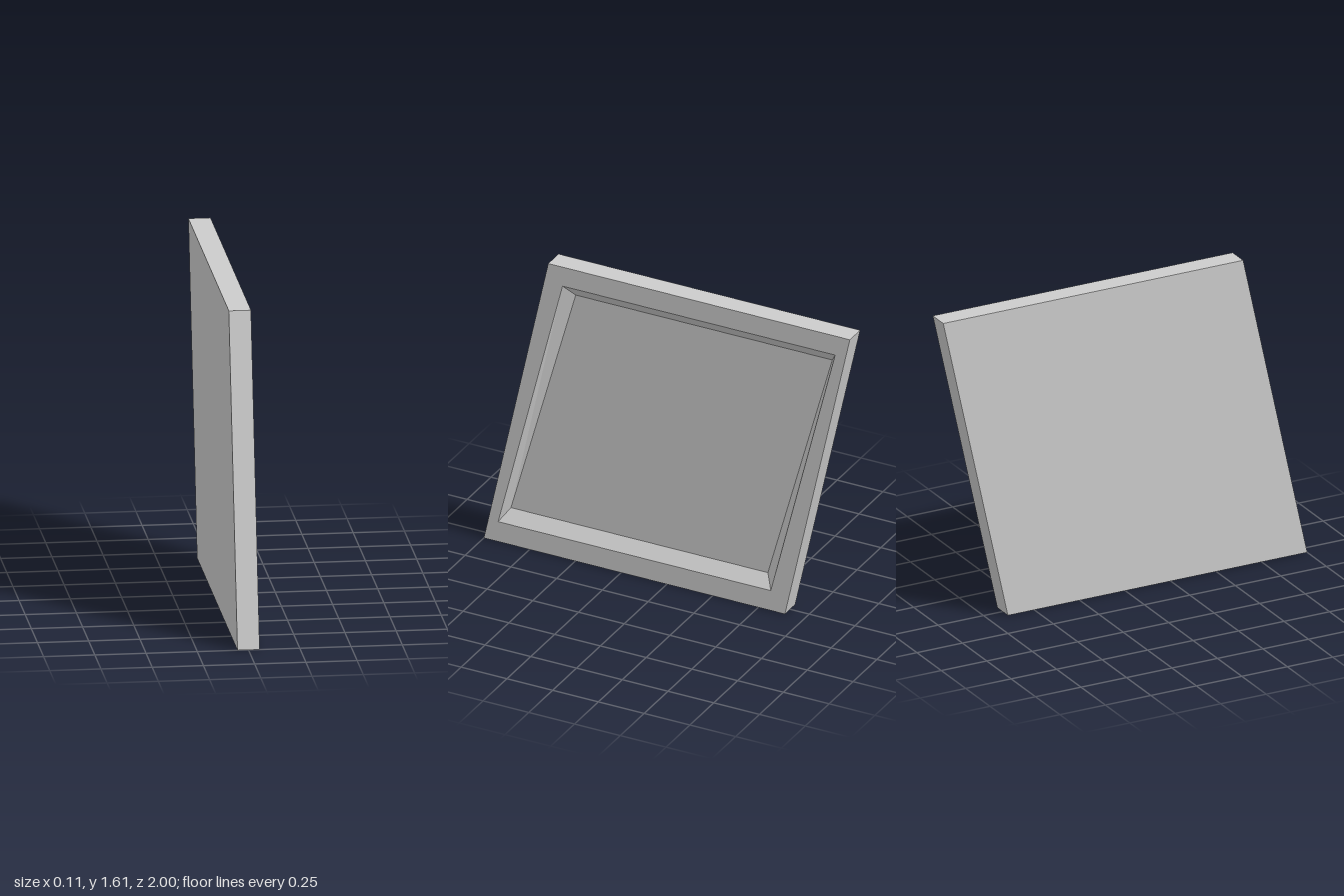
import * as THREE from 'three';

const X = 0.054; // half thickness
const FLOOR = 0; // depth plane of the recessed panel

// Slanted outlines as [z, y]: bottom front, bottom back, top back, top front
const OUTER = [[1, 0], [-0.645, 0], [-1, 1.61], [0.648, 1.61]];
const RIM = [[0.922, 0.11], [-0.568, 0.11], [-0.92, 1.505], [0.57, 1.505]];
const PANEL = [[0.88, 0.172], [-0.524, 0.172], [-0.876, 1.44], [0.526, 1.44]];

const ring = (outline, x) => outline.map(([z, y]) => [x, y, z]);

// Flat-faced geometry from four-cornered faces
function fromQuads(quads) {
  const points = quads.flatMap(([a, b, c, d]) => [a, b, c, a, c, d]).flat();
  const geometry = new THREE.BufferGeometry();
  geometry.setAttribute('position', new THREE.Float32BufferAttribute(points, 3));
  geometry.computeVertexNormals();
  return geometry;
}

// Band of four faces joining one ring to the next
const band = (r, s) => r.map((p, i) => {
  const j = (i + 1) % 4;
  return [p, r[j], s[j], s[i]];
});

export function createModel() {
  const group = new THREE.Group();
  const grey = new THREE.MeshStandardMaterial({ color: 0xcccccc });
  const back = ring(OUTER, -X), face = ring(OUTER, X);
  const rim = ring(RIM, X), floor = ring(PANEL, FLOOR);

  const add = (name, quads) => {
    const mesh = new THREE.Mesh(fromQuads(quads), grey);
    mesh.name = name;
    group.add(mesh);
  };

  add('backPlate', [[...back].reverse()]);
  add('outerEdges', band(back, face));
  add('frameFace', band(face, rim));
  add('recessBevel', band(rim, floor));
  add('recessedPanel', [floor]);
  return group;
}
